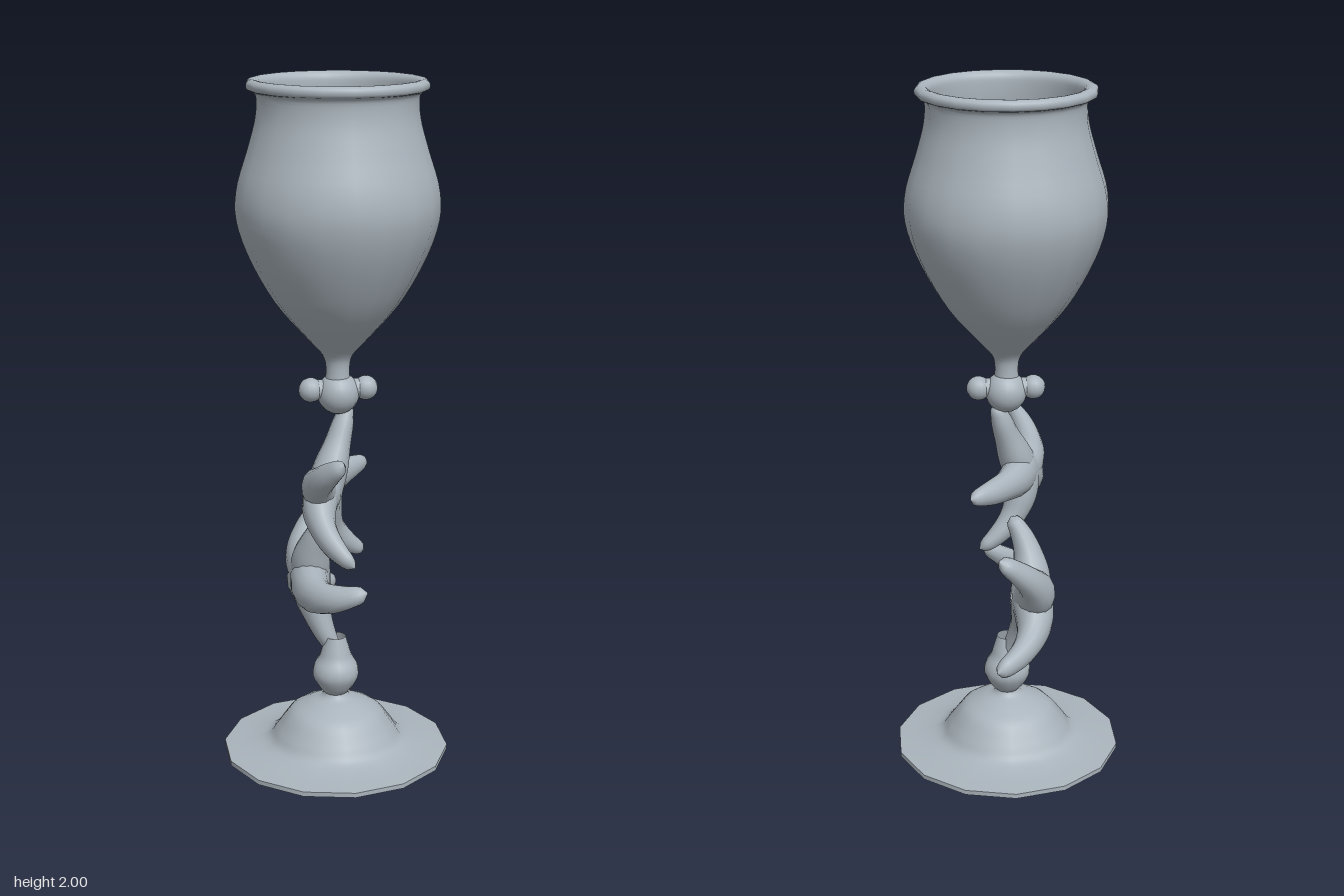
import * as THREE from 'three';

const V = (x, y, z) => new THREE.Vector3(x, y, z);
const glass = new THREE.MeshStandardMaterial({ color: 0xaab4bc, side: THREE.DoubleSide });
glass.name = 'grey glass';

function part(name, geometry, parent) {
  const mesh = new THREE.Mesh(geometry, glass);
  mesh.name = name;
  parent.add(mesh);
  return mesh;
}

// Revolved solid from a smoothed [radius, height] profile
function turned(profile, sides, steps) {
  const curve = new THREE.SplineCurve(profile.map(([r, y]) => new THREE.Vector2(r, y)));
  const points = curve.getPoints(steps);
  points.forEach(p => { p.x = Math.max(p.x, 0); });
  return new THREE.LatheGeometry(points, sides);
}

// Tapering arm with a rounded tip, swept along a bent curve
function armGeometry(start, bend, tip, widths) {
  const rings = 24, sides = 14;
  const curve = new THREE.QuadraticBezierCurve3(start, bend, tip);
  const taper = new THREE.SplineCurve(widths.map((w, i) => new THREE.Vector2(i, w)));
  const positions = [], index = [];
  for (let i = 0; i <= rings; i++) {
    const t = i / rings;
    const p = curve.getPoint(t), tangent = curve.getTangent(t);
    const side = tangent.clone().cross(V(1, 0, 0)).normalize();
    const up = tangent.clone().cross(side);
    const cap = t > 0.9 ? Math.sqrt(Math.max(0.001, 1 - ((t - 0.9) / 0.1) ** 2)) : 1;
    const w = taper.getPoint(t).y * cap;
    for (let j = 0; j < sides; j++) {
      const a = (j / sides) * Math.PI * 2;
      const v = p.clone().addScaledVector(side, w * Math.cos(a)).addScaledVector(up, w * 0.85 * Math.sin(a));
      positions.push(v.x, v.y, v.z);
      if (i < rings) {
        const j2 = (j + 1) % sides;
        const q = i * sides + j, r = i * sides + j2;
        index.push(q, r, q + sides, r, r + sides, q + sides);
      }
    }
  }
  const g = new THREE.BufferGeometry();
  g.setAttribute('position', new THREE.Float32BufferAttribute(positions, 3));
  g.setIndex(index);
  g.computeVertexNormals();
  return g;
}

// Five curling arms around a rounded body; each arm is [tip, bend]
function starfish(name, center, arms, widths, parent) {
  const star = new THREE.Group();
  star.name = name;
  const body = part('starBody', new THREE.SphereGeometry(1, 20, 14), star);
  body.scale.set(0.05, 0.075, 0.075);
  body.position.copy(center);
  arms.forEach(([tip, bend]) => part('starArm', armGeometry(center, V(...bend), V(...tip), widths), star));
  parent.add(star);
}

export function createModel() {
  const goblet = new THREE.Group();
  goblet.name = 'goblet';

  // Foot: thin faceted disc, domed top and lower knob
  part('footDisc', new THREE.CylinderGeometry(0.336, 0.336, 0.014, 14), goblet).position.y = 0.007;
  part('footDome', turned([
    [0.336, 0.014], [0.26, 0.022], [0.205, 0.038], [0.175, 0.075], [0.135, 0.125],
    [0.085, 0.152], [0.045, 0.168], [0.032, 0.185],
  ], 14, 36), goblet);
  part('lowerKnob', turned([
    [0.032, 0.18], [0.05, 0.2], [0.068, 0.235], [0.066, 0.265], [0.05, 0.295], [0.042, 0.32], [0.03, 0.36],
  ], 16, 24), goblet);

  // Stem: two linked starfish
  starfish('lowerStarfish', V(-0.06, 0.53, -0.09), [
    [[0.045, 0.73, -0.275], [-0.11, 0.6, -0.21]],
    [[0.055, 0.41, -0.335], [-0.1, 0.43, -0.2]],
    [[0.005, 0.3, -0.01], [-0.07, 0.42, -0.03]],
    [[0.06, 0.565, 0.19], [-0.12, 0.5, 0.14]],
    [[-0.01, 0.745, 0.0], [-0.08, 0.65, -0.02]],
  ], [0.07, 0.066, 0.05, 0.038, 0.026], goblet);
  starfish('upperStarfish', V(-0.05, 0.855, 0.1), [
    [[-0.03, 0.99, 0.315], [-0.12, 0.89, 0.2]],
    [[0.0, 0.69, 0.315], [-0.12, 0.78, 0.21]],
    [[0.08, 0.635, 0.02], [-0.06, 0.71, 0.06]],
    [[0.115, 0.86, -0.135], [-0.02, 0.85, -0.03]],
    [[0.03, 1.085, 0.03], [0.0, 0.98, 0.05]],
  ], [0.062, 0.058, 0.045, 0.036, 0.022], goblet);

  // Upper knob with a bead on either side
  const knob = new THREE.Group();
  knob.name = 'upperKnob';
  knob.position.set(0, 1.12, 0.043);
  part('knobBall', new THREE.SphereGeometry(0.06, 20, 14), knob);
  for (const s of [-1, 1]) {
    const bead = part('sideBead', new THREE.SphereGeometry(0.035, 14, 10), knob);
    bead.position.set(s * 0.079, 0.012, 0);
    const link = part('beadLink', new THREE.CylinderGeometry(0.028, 0.028, 0.06, 14), knob);
    link.rotation.z = Math.PI / 2;
    link.position.set(s * 0.05, 0.012, 0);
  }
  goblet.add(knob);

  // Cup: outer wall, rolled lip and hollow inside in one profile
  part('cup', turned([
    [0.036, 1.15], [0.034, 1.2], [0.045, 1.235], [0.09, 1.285], [0.175, 1.385], [0.245, 1.51],
    [0.282, 1.62], [0.28, 1.71], [0.25, 1.81], [0.228, 1.89], [0.223, 1.945], [0.23, 1.965],
    [0.248, 1.973], [0.25, 1.99], [0.235, 2.0], [0.215, 1.992], [0.208, 1.965], [0.212, 1.89],
    [0.236, 1.81], [0.266, 1.71], [0.267, 1.62], [0.23, 1.51], [0.16, 1.395], [0.07, 1.295], [0, 1.265],
  ], 20, 84), goblet).position.set(-0.002, 0, 0.045);

  return goblet;
}
